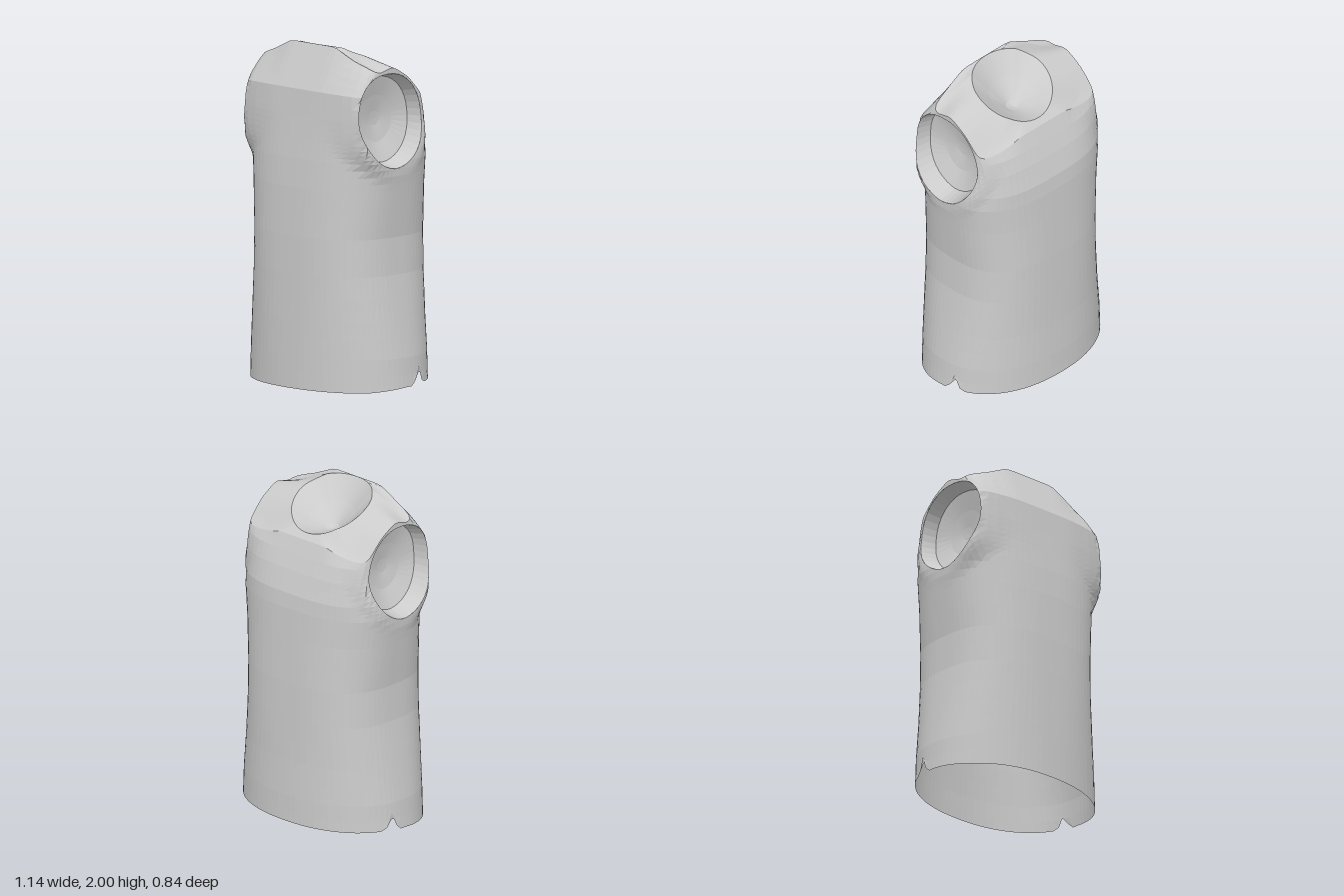
import * as THREE from 'three';

const { lerp, clamp, smoothstep } = THREE.MathUtils;
const COLS = 80;

const material = new THREE.MeshStandardMaterial({
  color: 0xcccccc, flatShading: true, side: THREE.DoubleSide,
});

// Skin a list of closed rings of Vector3; keep(j, i) may leave quads out.
function skin(name, rings, keep = () => true) {
  const n = rings[0].length, index = [];
  for (let j = 0; j < rings.length - 1; j++) {
    for (let i = 0; i < n; i++) {
      if (!keep(j, i)) continue;
      const k = (i + 1) % n;
      const a = j * n + i, b = j * n + k, c = a + n, d = b + n;
      index.push(a, c, b, b, c, d);
    }
  }
  const geometry = new THREE.BufferGeometry().setFromPoints(rings.flat());
  geometry.setIndex(index);
  geometry.computeVertexNormals();
  const mesh = new THREE.Mesh(geometry, material);
  mesh.name = name;
  return mesh;
}

// Radius of a unit superellipse at a given angle
const superRadius = (t, n) =>
  (Math.abs(Math.cos(t)) ** n + Math.abs(Math.sin(t)) ** n) ** (-1 / n);

// Height of the shoulders: high ridge in front, falling to the back and the sides
function shoulderY(x, z) {
  const out = clamp((Math.abs(x) - 0.18) / 0.29, 0, 1);
  const drop = 0.05 + 0.08 * smoothstep(z, 0, 0.17) + 0.04 * smoothstep(-z, 0.08, 0.25);
  return 1.935 + 0.5 * z - 0.875 * z * z - out * drop;
}

// Ring: half width, front z, back z, squareness, height in front and at the back
// (without heights the ring lies on the shoulders)
function bodyRing([a, zf, zb, n, yF, yB = yF]) {
  const zc = (zf + zb) / 2, b = (zf - zb) / 2;
  return Array.from({ length: COLS }, (_, i) => {
    const t = (i / COLS) * Math.PI * 2, r = superRadius(t, n);
    const x = a * r * Math.cos(t), z = zc + b * r * Math.sin(t);
    const y = yF === undefined ? shoulderY(x, z) : lerp(yB, yF, (z - zb) / (zf - zb));
    return new THREE.Vector3(x, y, z);
  });
}

// Egg-shaped armhole outline in the z-y plane, and how far out its edge lies
const ARM = { y: 1.585, z: 0.05, ry: 0.275, rz: 0.25 };
const armPower = (dy, dz) => (dy < 0 ? 1.85 : dz > 0 ? 2.5 : 2.05);
function armDistance(p) {
  const n = armPower(p.y - ARM.y, p.z - ARM.z);
  return (Math.abs((p.z - ARM.z) / ARM.rz) ** n
    + Math.abs((p.y - ARM.y) / ARM.ry) ** n) ** (1 / n);
}
const rimX = (y) => 0.472 + 0.055 * (1 - smoothstep(y, 1.34, 1.63));

// Lower edge with a small slit at each side
function hemY(z) {
  const base = z > -0.098 ? lerp(0.028, 0.006, clamp(z / 0.25, 0, 1)) : 0.038;
  return Math.max(base, 0.14 * (1 - Math.abs(z + 0.098) / 0.055));
}

const NECK = [0.25, 0.205, -0.225, 2];

function makeBody() {
  const levels = [
    [0.572, 0.42, -0.42, 2.2, 0],
    [0.56, 0.418, -0.418, 2.25, 0.2],
    [0.53, 0.415, -0.41, 2.4, 0.42],
    [0.495, 0.41, -0.405, 2.65, 0.68],
    [0.487, 0.405, -0.40, 2.75, 0.9],
    [0.515, 0.392, -0.388, 2.65, 1.18],
    [0.532, 0.378, -0.38, 2.7, 1.35],
    [0.512, 0.365, -0.37, 3, 1.46, 1.44],
    [0.475, 0.35, -0.33, 3.8, 1.6, 1.57],
    [0.47, 0.335, -0.295, 4.2, 1.75, 1.66],
    [0.472, 0.207, -0.258, 4.5],
    NECK,
  ].map(bodyRing);
  const shoulder = levels.length - 2;
  const rings = [], open = [];
  for (let l = 0; l < levels.length; l++) {
    const steps = l === levels.length - 1 ? 1 : l < 5 ? 2 : 4;
    for (let k = 0; k < steps; k++) {
      const ring = levels[l].map((p, i) =>
        (k ? p.clone().lerp(levels[l + 1][i], k / steps) : p.clone()));
      // Spread the side wall out to the armhole edge and mark what lies inside
      open.push(ring.map((p) => {
        const side = Math.sign(p.x), ax = Math.abs(p.x), q = armDistance(p);
        if (l > shoulder || (l === shoulder && k > 0) || ax < 0.25) return false;
        if (q < 1) {
          const s = 1 / Math.max(q, 0.001);
          p.z = ARM.z + (p.z - ARM.z) * s;
          p.y = ARM.y + (p.y - ARM.y) * s;
          p.x = side * rimX(p.y);
          return true;
        }
        const w = (1 - smoothstep(q, 1, 1.4)) * smoothstep(ax, 0.25, 0.45);
        p.x = side * lerp(ax, rimX(p.y), w);
        return false;
      }));
      rings.push(ring);
    }
  }
  rings[0].forEach((p) => { p.y = hemY(p.z); });
  return skin('body', rings, (j, i) => {
    const k = (i + 1) % COLS;
    return !(open[j][i] && open[j][k] && open[j + 1][i] && open[j + 1][k]);
  });
}

// Shallow bowl that closes the neck
function makeNeck() {
  const rim = bodyRing(NECK);
  const centre = new THREE.Vector3(-0.005, 1.74, -0.01);
  const rings = [[1, 0], [0.58, 0.5], [0.17, 0.93], [0, 1]].map(([r, drop]) =>
    rim.map((p) => new THREE.Vector3(
      lerp(centre.x, p.x, r), lerp(p.y, centre.y, drop), lerp(centre.z, p.z, r))));
  return skin('neckBowl', rings);
}

// Ring of the armhole outline, scaled and pushed inwards
function armRing(scale, depth, flatten) {
  return Array.from({ length: 40 }, (_, i) => {
    const t = (i / 40) * Math.PI * 2;
    const r = superRadius(t, armPower(Math.sin(t), Math.cos(t)));
    const y = ARM.y + ARM.ry * r * Math.sin(t);
    return new THREE.Vector3(
      lerp(rimX(y), 0.47, flatten) - depth,
      lerp(ARM.y, y, scale),
      ARM.z + ARM.rz * r * Math.cos(t) * scale);
  });
}

function makeArmhole(name, side) {
  const group = new THREE.Group();
  group.name = name;
  const inner = armRing(0.91, 0.09, 0.5);
  group.add(
    skin('armholeLining', [armRing(1, 0, 0), inner]),
    skin('armholeCap', [inner, armRing(0.5, 0.115, 0.9),
      armRing(0.15, 0.13, 1), armRing(0, 0.132, 1)]),
  );
  group.scale.x = side;
  return group;
}

export function createModel() {
  const model = new THREE.Group();
  model.name = 'sleevelessTop';
  model.add(makeBody(), makeNeck(), makeArmhole('leftArmhole', 1), makeArmhole('rightArmhole', -1));
  return model;
}
